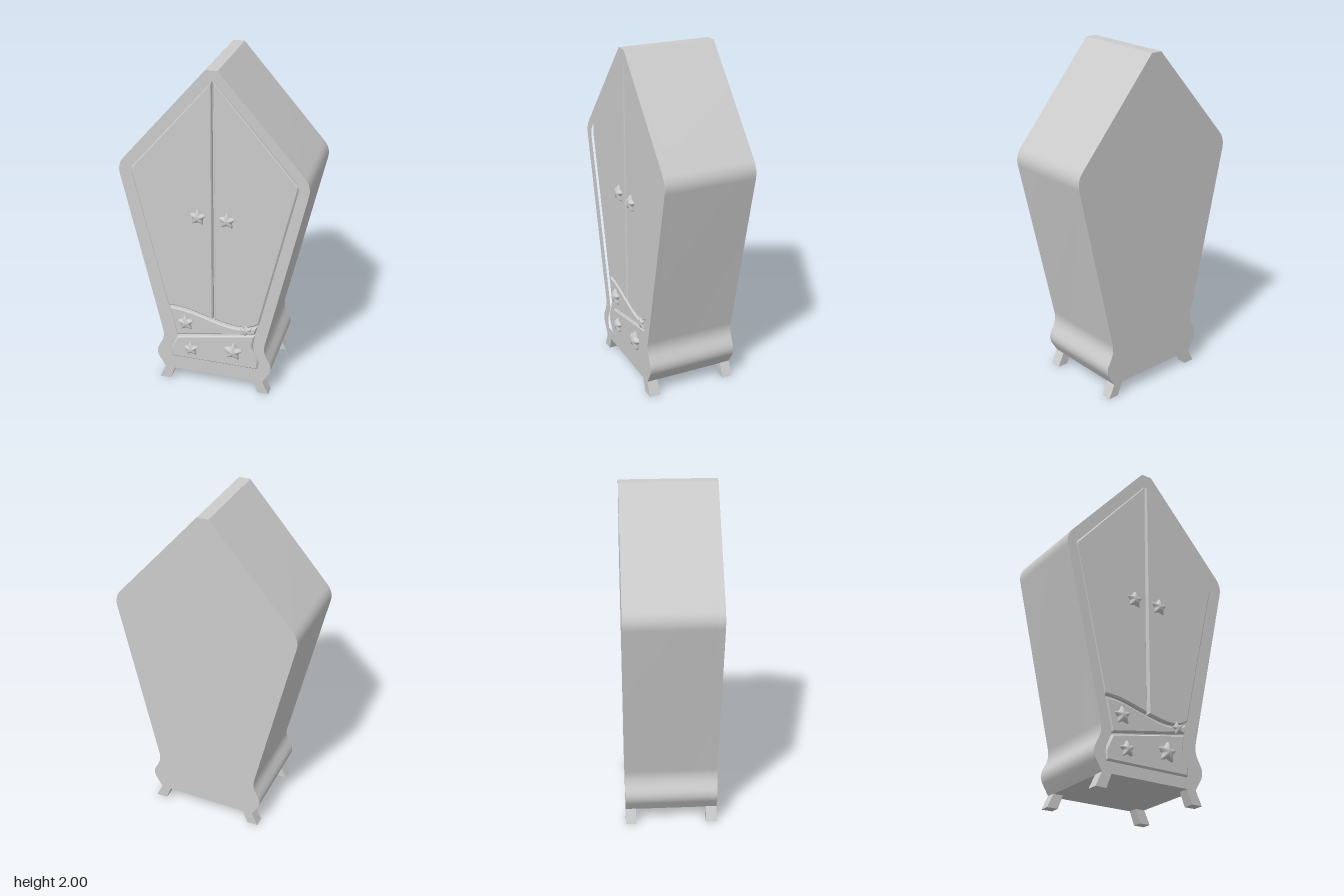
import * as THREE from 'three';
import { toCreasedNormals } from 'three/addons/utils/BufferGeometryUtils.js';

const material = new THREE.MeshStandardMaterial({ color: 0xcccccc });
const FRONT = 0.272, BACK = -0.272, RECESS = 0.235;

// Closed outline through [x, y, cut] corners; each corner is rounded over the cut length.
function outline(points, Type = THREE.Shape) {
  const path = new Type();
  const v = points.map(([x, y]) => new THREE.Vector2(x, y));
  const n = v.length;
  for (let i = 0; i < n; i++) {
    const p = v[i], cut = points[i][2] || 0;
    const toward = (q) => p.clone().add(q.clone().sub(p).setLength(cut));
    const a = cut ? toward(v[(i + n - 1) % n]) : p;
    if (i === 0) path.moveTo(a.x, a.y);
    else path.lineTo(a.x, a.y);
    if (cut) {
      const b = toward(v[(i + 1) % n]);
      path.quadraticCurveTo(p.x, p.y, b.x, b.y);
    }
  }
  path.closePath();
  return path;
}

// Right half listed from top to bottom, completed with its mirror image.
const mirrored = (half) => [...half, ...half.map(([x, y, c]) => [-x, y, c]).reverse()];

function extrude(name, shape, z0, z1, bevel = 0) {
  const geometry = new THREE.ExtrudeGeometry(shape, {
    depth: z1 - z0 - bevel, curveSegments: 8, bevelEnabled: bevel > 0,
    bevelSize: bevel, bevelOffset: -bevel, bevelThickness: bevel, bevelSegments: 1,
  });
  geometry.translate(0, 0, z0);
  const mesh = new THREE.Mesh(toCreasedNormals(geometry, 0.5), material);
  mesh.name = name;
  return mesh;
}

// Pillowy five-pointed knob: a flattened sphere pulled into a star.
function star(name, x, y, z, radius, height = 0.022, turn = 0) {
  const geometry = new THREE.SphereGeometry(1, 40, 10);
  geometry.rotateX(Math.PI / 2);
  const p = geometry.attributes.position;
  const inner = 0.56, step = Math.PI / 5;
  for (let i = 0; i < p.count; i++) {
    const angle = Math.atan2(p.getY(i), p.getX(i)) - Math.PI / 2;
    const wrapped = ((angle % (2 * step)) + 2 * step) % (2 * step);
    const a = Math.min(wrapped, 2 * step - wrapped);
    const edge = inner * Math.sin(step) /
      (inner * Math.sin(step - a) + Math.sin(a));
    const r = radius * Math.min(edge, 0.96);
    p.setXYZ(i, p.getX(i) * r, p.getY(i) * r, p.getZ(i) * height);
  }
  geometry.computeVertexNormals();
  const mesh = new THREE.Mesh(geometry, material);
  mesh.name = name;
  mesh.position.set(x, y, z);
  mesh.rotation.z = turn;
  return mesh;
}

export function createModel() {
  const group = new THREE.Group();
  group.name = 'wardrobe';
  const cabinet = new THREE.Group();
  cabinet.name = 'cabinet';
  cabinet.rotation.y = -0.017;
  cabinet.position.z = -0.008;
  group.add(cabinet);

  // Cabinet body and the raised frame around its front
  const body = mirrored([
    [0.033, 2, 0], [0.552, 1.405, 0.06], [0.303, 0.3, 0.05], [0.365, 0.185, 0.05], [0.302, 0.08, 0],
  ]);
  const opening = mirrored([
    [0.012, 1.945, 0], [0.488, 1.395, 0.035], [0.243, 0.305, 0.03], [0.285, 0.21, 0.03], [0.278, 0.145, 0],
  ]);
  cabinet.add(extrude('body', outline(body), BACK, RECESS));
  const frame = outline(body);
  frame.holes.push(outline(opening, THREE.Path));
  cabinet.add(extrude('frontFrame', frame, RECESS, FRONT));

  // Two doors above a wavy lower edge
  const left = new THREE.Shape();
  left.moveTo(0.006, 1.93);
  left.lineTo(0.472, 1.395);
  left.quadraticCurveTo(0.482, 1.38, 0.474, 1.35);
  left.lineTo(0.272, 0.475);
  left.bezierCurveTo(0.2, 0.42, 0.12, 0.435, 0.006, 0.465);
  left.closePath();
  cabinet.add(extrude('leftDoor', left, RECESS, 0.262, 0.008));

  const right = new THREE.Shape();
  right.moveTo(-0.006, 1.93);
  right.lineTo(-0.006, 0.467);
  right.bezierCurveTo(-0.1, 0.49, -0.16, 0.52, -0.282, 0.52);
  right.lineTo(-0.474, 1.35);
  right.quadraticCurveTo(-0.482, 1.38, -0.472, 1.395);
  right.closePath();
  cabinet.add(extrude('rightDoor', right, RECESS, 0.262, 0.008));

  // Upper drawer follows the wave, its lower edge slants
  const upper = new THREE.Shape();
  upper.moveTo(-0.272, 0.505);
  upper.lineTo(-0.232, 0.315);
  upper.lineTo(0.25, 0.402);
  upper.lineTo(0.262, 0.455);
  upper.bezierCurveTo(0.19, 0.408, 0.1, 0.42, 0, 0.45);
  upper.bezierCurveTo(-0.1, 0.478, -0.16, 0.505, -0.272, 0.505);
  cabinet.add(extrude('upperDrawer', upper, RECESS, 0.26, 0.008));

  const lower = outline([
    [-0.23, 0.303, 0.01], [-0.272, 0.21, 0.02], [-0.266, 0.156, 0], [0.266, 0.156, 0],
    [0.272, 0.21, 0.02], [0.232, 0.305, 0.02], [0.248, 0.39, 0],
  ]);
  cabinet.add(extrude('lowerDrawer', lower, RECESS, 0.26, 0.008));

  // Star knobs
  cabinet.add(
    star('rightDoorKnob', -0.088, 1.133, 0.264, 0.054),
    star('leftDoorKnob', 0.082, 1.133, 0.264, 0.054),
    star('upperDrawerRightKnob', -0.172, 0.417, 0.264, 0.056, 0.022, 0.1),
    star('upperDrawerLeftKnob', 0.2, 0.422, 0.258, 0.042, 0.014, 0.3),
    star('lowerDrawerRightKnob', -0.142, 0.235, 0.264, 0.05, 0.022, 0.1),
    star('lowerDrawerLeftKnob', 0.12, 0.265, 0.264, 0.064, 0.026, -0.05),
  );

  // Four splayed legs
  for (const [side, s] of [['Left', 1], ['Right', -1]]) {
    for (const [end, z0, z1] of [['front', 0.207, FRONT], ['back', BACK, -0.21]]) {
      const leg = outline([[0.302 * s, 0.085], [0.342 * s, 0], [0.275 * s, 0], [0.243 * s, 0.085]]);
      cabinet.add(extrude(end + side + 'Leg', leg, z0, z1));
    }
  }
  return group;
}
